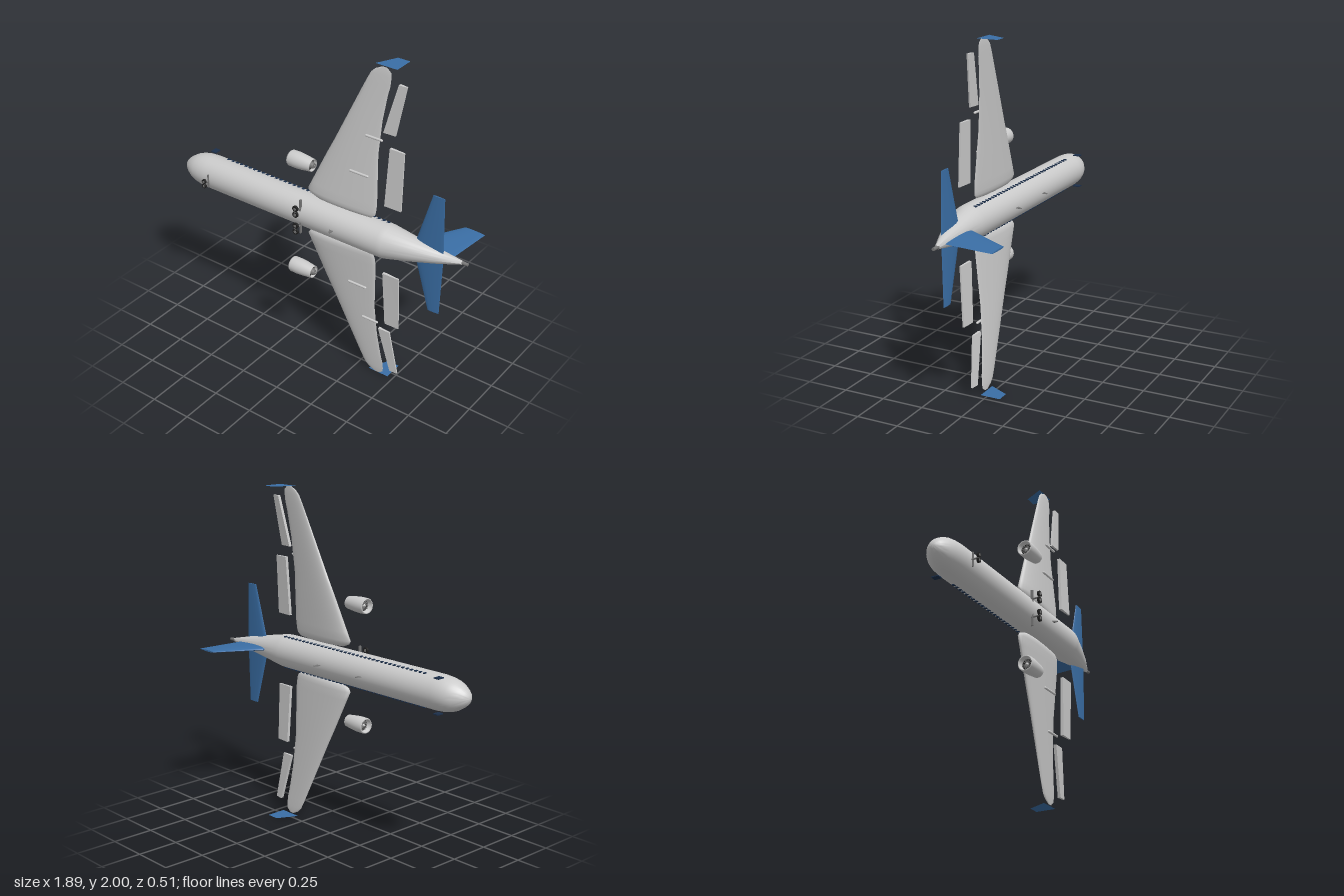
import * as THREE from 'three';
import { toCreasedNormals } from 'three/addons/utils/BufferGeometryUtils.js';

const paint = (color) => new THREE.MeshStandardMaterial({ color, roughness: 0.6, side: THREE.DoubleSide });
const white = paint(0xeeeeee), grey = paint(0xcccccc), blue = paint(0x3a6ea5), navy = paint(0x1c2f4a);
const steel = paint(0x777777), rubber = paint(0x222222);

// Skins a list of closed loops ([x, y, z] points), caps both ends and turns the faces outward
function loft(loops, crease = 0.7) {
  const n = loops[0].length, pos = loops.flat(2), idx = [];
  for (let i = 0; i < loops.length - 1; i++)
    for (let j = 0; j < n; j++) {
      const a = i * n + j, b = i * n + (j + 1) % n;
      idx.push(a, b, a + n, b, b + n, a + n);
    }
  const end = (loops.length - 1) * n;
  for (let j = 1; j < n - 1; j++) idx.push(0, j + 1, j, end, end + j, end + j + 1);
  const p = (i) => new THREE.Vector3().fromArray(pos, i * 3);
  let volume = 0;
  for (let i = 0; i < idx.length; i += 3) volume += p(idx[i]).dot(p(idx[i + 1]).cross(p(idx[i + 2])));
  if (volume < 0) idx.reverse();
  const g = new THREE.BufferGeometry();
  g.setAttribute('position', new THREE.Float32BufferAttribute(pos, 3));
  g.setIndex(idx);
  return toCreasedNormals(g, crease);
}

// Rounded-nose, thin-tailed section: returns [x, offset] pairs
function airfoil(lead, trail, half, steps = 28) {
  return Array.from({ length: steps }, (_, i) => {
    const a = (i / steps) * Math.PI * 2, u = (1 - Math.cos(a)) / 2;
    return [lead + u * (trail - lead), half * Math.sin(a) * (1.25 - 0.75 * u)];
  });
}

export function createModel() {
  const model = new THREE.Group();
  model.name = 'airliner';
  const add = (name, geo, mat, x = 0, y = 0, z = 0, parent = model) => {
    const m = new THREE.Mesh(geo, mat);
    m.name = name;
    m.position.set(x, y, z);
    parent.add(m);
    return m;
  };
  const box = (name, mat, w, h, d, x, y, z) => add(name, new THREE.BoxGeometry(w, h, d), mat, x, y, z);

  // Fuselage: x, radius, centre z (the belly faces +z)
  const hull = [
    [-0.95, 0.004, 0.112], [-0.945, 0.02, 0.111], [-0.93, 0.04, 0.109], [-0.91, 0.057, 0.107],
    [-0.88, 0.076, 0.104], [-0.85, 0.088, 0.102], [-0.81, 0.096, 0.1], [-0.76, 0.1, 0.1],
    [0.46, 0.1, 0.1], [0.49, 0.098, 0.099], [0.64, 0.069, 0.083], [0.78, 0.041, 0.062], [0.91, 0.011, 0.038],
  ];
  add('fuselage', loft(hull.map(([x, r, z]) => Array.from({ length: 48 }, (_, i) => {
    const a = (i / 48) * Math.PI * 2;
    return [x, 1 + r * Math.cos(a), z + r * Math.sin(a)];
  })), 1), white);
  add('tailExhaust', new THREE.CylinderGeometry(0.009, 0.011, 0.045, 20), steel, 0.922, 1, 0.037).rotation.z = -Math.PI / 2;

  // Vertical fin
  add('tailFin', loft([[0.04, 0.57, 0.845, 0.014], [-0.26, 0.745, 0.875, 0.005]].map(([z, a, b, t]) =>
    airfoil(a, b, t).map(([x, o]) => [x, 1 + o, z]))), blue);

  // Antenna blades on the back and belly
  for (const [x, z0, z1] of [[-0.24, 0.004, -0.027], [0.095, 0.004, -0.033], [0.17, 0.196, 0.226]])
    add('antenna', loft([[z0, x - 0.015, x + 0.014], [z1, x + 0.002, x + 0.01]].map(([z, a, b]) =>
      [[a, 0.998, z], [b, 0.998, z], [b, 1.002, z], [a, 1.002, z]])), steel);

  // Wing stations: distance from centreline, leading x, trailing x
  const stations = [
    [0.105, 0.1, 0.3, 0.25], [0.112, 0.0, 0.37, 0.6], [0.13, -0.045, 0.392, 0.9], [0.15, -0.058, 0.398, 1],
    [0.2, -0.035, 0.402, 1], [0.4, 0.056, 0.393, 1], [0.5, 0.104, 0.388, 1], [0.7, 0.194, 0.4, 1],
    [0.85, 0.262, 0.422, 1], [0.9, 0.285, 0.433, 1], [0.95, 0.31, 0.436, 1], [0.975, 0.335, 0.432, 0.8],
    [0.995, 0.375, 0.408, 0.3],
  ];
  const wingZ = (d) => 0.113 - 0.07 * d;

  // Engine shell profile: radius, distance along the axis (front at 0)
  const shell = [[0.03, 0.035], [0.036, 0.02], [0.039, 0.006], [0.042, 0], [0.046, 0.008], [0.047, 0.05],
    [0.044, 0.09], [0.036, 0.15], [0.033, 0.15], [0.033, 0.115]].map(([r, h]) => new THREE.Vector2(r, h));

  for (const [s, side] of [[1, 'upper'], [-1, 'lower']]) {
    const Y = (d) => 1 + s * d;

    add(side + 'Wing', loft(stations.map(([d, a, b, k]) => airfoil(a, b, k * (0.034 - 0.029 * d)).map(([x, o]) =>
      [x, Y(d), wingZ(d) + o])), 1.2), grey);

    // Upright wingtip plate
    add(side + 'Winglet', new THREE.ShapeGeometry(new THREE.Shape([[0.33, -0.04], [0.465, -0.04], [0.465, 0.08],
      [0.39, 0.08]].map((p) => new THREE.Vector2(...p)))), blue, 0, Y(1), 0).rotation.x = -Math.PI / 2;

    // Flaps hanging behind the wing: two ends of distance, leading x, trailing x, z
    const flaps = [[[0.22, 0.455, 0.56, 0.102], [0.57, 0.47, 0.56, 0.088]],
      [[0.64, 0.415, 0.49, 0.07], [0.93, 0.49, 0.54, 0.052]]];
    for (const ends of flaps)
      add(side + 'Flap', loft(ends.map(([d, a, b, z]) =>
        [[a, Y(d), z - 0.009], [b, Y(d), z - 0.002], [b, Y(d), z + 0.007], [a, Y(d), z + 0.009]]), 0.3), grey);

    // Flap track fairings under the wing
    for (const [d, x, z, len] of [[0.365, 0.288, 0.112, 0.112], [0.595, 0.363, 0.086, 0.098]])
      add(side + 'FlapFairing', new THREE.CapsuleGeometry(0.007, len, 6, 12), grey, x, Y(d), z).rotation.z = Math.PI / 2;

    // Tailplane
    add(side + 'Tailplane', loft([[0.02, 0.628, 0.812, 0.011], [0.37, 0.73, 0.802, 0.004]].map(([d, a, b, t]) =>
      airfoil(a, b, t).map(([x, o]) => [x, Y(d), 0.068 + o]))), blue);

    // Engine, its axis turned to run along x
    const engine = new THREE.Group();
    engine.name = side + 'Engine';
    engine.position.set(-0.12, Y(0.353), 0.175);
    engine.rotation.z = -Math.PI / 2;
    model.add(engine);
    add('nacelle', new THREE.LatheGeometry(shell, 40), white, 0, 0, 0, engine);
    add('fanDisc', new THREE.CylinderGeometry(0.034, 0.034, 0.006, 32), rubber, 0, 0.034, 0, engine);
    add('spinner', new THREE.ConeGeometry(0.011, 0.022, 20), grey, 0, 0.02, 0, engine).rotation.x = Math.PI;
    for (let i = 0; i < 14; i++) {
      const blade = add('fanBlade', new THREE.BoxGeometry(0.026, 0.003, 0.004).translate(0.019, 0, 0), steel, 0, 0.028, 0, engine);
      blade.rotation.y = (i / 14) * Math.PI * 2;
    }
    add('rearDisc', new THREE.CylinderGeometry(0.033, 0.033, 0.004, 32), rubber, 0, 0.128, 0, engine);
    add('coreNozzle', new THREE.CylinderGeometry(0.015, 0.024, 0.035, 24), steel, 0, 0.142, 0, engine);
    add('exhaustCone', new THREE.ConeGeometry(0.011, 0.03, 20), steel, 0, 0.162, 0, engine);

    // Cabin windows and cockpit pane
    for (let i = 0; i < 36; i++) box('cabinWindow', navy, 0.015, 0.006, 0.018, -0.67 + i * 0.0322, Y(0.094), 0.065);
    box('cockpitWindow', navy, 0.034, 0.006, 0.042, -0.794, Y(0.098), 0.037);

    // Main gear leg, cross bar and wheel pair
    box('gearBar', steel, 0.008, 0.075, 0.014, -0.05, Y(0.072), 0.186);
    const wheel = (x, d, r, z) => {
      add('wheel', new THREE.CylinderGeometry(r, r, 0.012, 24), rubber, x, Y(d), z).rotation.x = Math.PI / 2;
      add('wheelHub', new THREE.CylinderGeometry(r * 0.5, r * 0.5, 0.015, 16), steel, x, Y(d), z).rotation.x = Math.PI / 2;
    };
    add('gearLeg', new THREE.CylinderGeometry(0.005, 0.005, 0.06, 12), steel, -0.05, Y(0.056), 0.21).rotation.x = Math.PI / 2;
    box('gearAxle', steel, 0.006, 0.04, 0.006, -0.05, Y(0.056), 0.233);
    wheel(-0.05, 0.037, 0.018, 0.233);
    wheel(-0.05, 0.075, 0.018, 0.233);
    wheel(-0.713, 0.015, 0.014, 0.24);
  }

  // Nose gear leg and cross bar
  add('noseGearLeg', new THREE.CylinderGeometry(0.005, 0.005, 0.06, 12), steel, -0.713, 1, 0.215).rotation.x = Math.PI / 2;
  box('noseGearBar', steel, 0.006, 0.085, 0.008, -0.713, 1, 0.205);
  return model;
}
